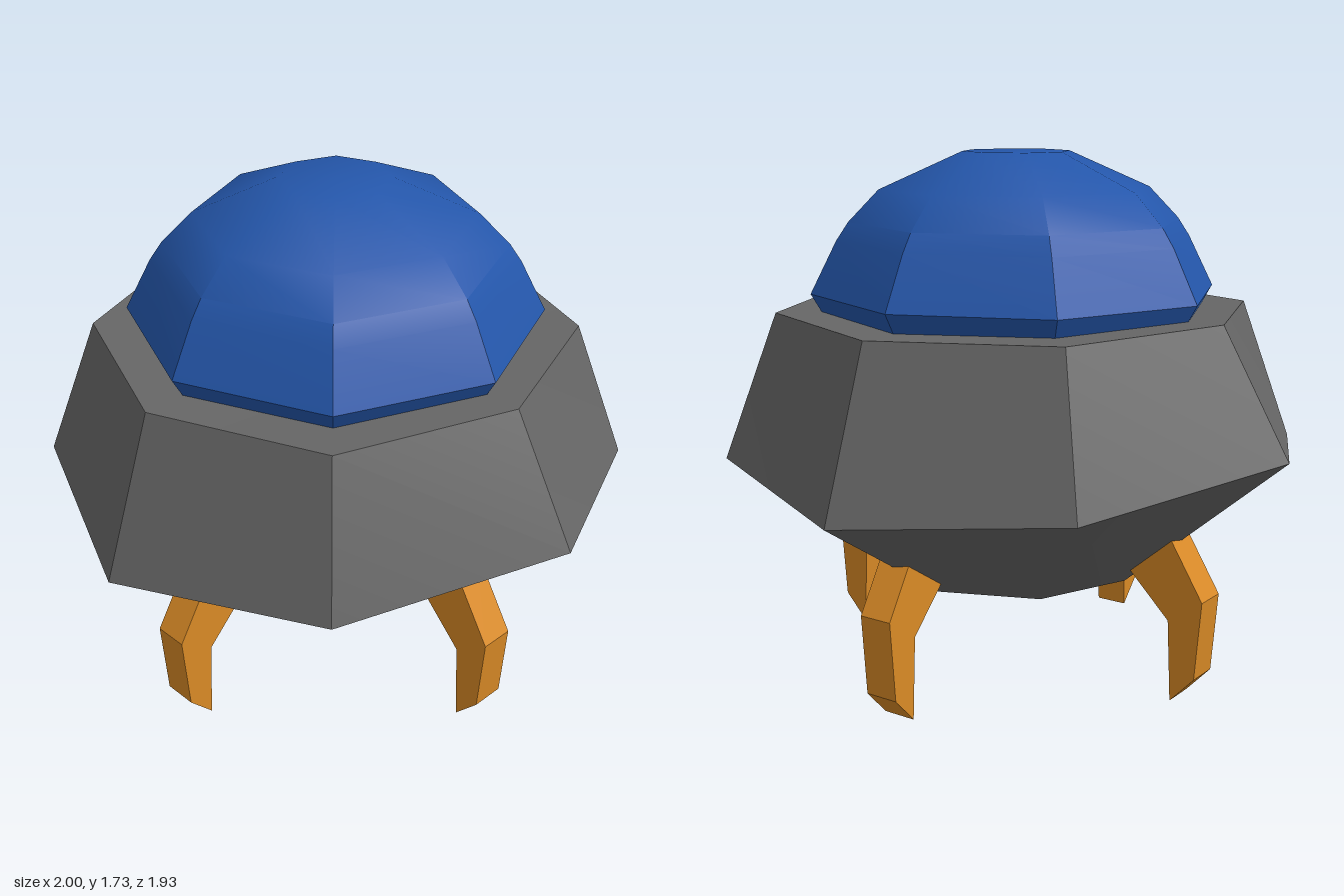
import * as THREE from 'three';
import { toCreasedNormals } from 'three/addons/utils/BufferGeometryUtils.js';

const SIDES = 8;

// Picks the value for a corner: [on the x axis, diagonal, on the z axis]
const pick = (v, k) => (Array.isArray(v) ? v[[0, 1, 2, 1][k % 4]] : v);

// Skins eight-sided rings, each [radius, height], listed from bottom to top
function loft(rings, crease) {
  const point = ([r, y], k) => {
    const a = (k / SIDES) * Math.PI * 2;
    return [pick(r, k) * Math.cos(a), pick(y, k), pick(r, k) * Math.sin(a)];
  };
  const positions = [];
  for (let i = 0; i < rings.length - 1; i++) {
    const low = rings[i], high = rings[i + 1];
    for (let k = 0; k < SIDES; k++) {
      const a = point(low, k), b = point(low, k + 1);
      const c = point(high, k), d = point(high, k + 1);
      if (high[0] !== 0) positions.push(...a, ...c, ...d);
      if (low[0] !== 0) positions.push(...a, ...(high[0] === 0 ? c : d), ...b);
    }
  }
  const geometry = new THREE.BufferGeometry();
  geometry.setAttribute('position', new THREE.Float32BufferAttribute(positions, 3));
  return toCreasedNormals(geometry, THREE.MathUtils.degToRad(crease));
}

function material(name, color) {
  const m = new THREE.MeshStandardMaterial({ color });
  m.name = name;
  return m;
}

export function createModel() {
  const group = new THREE.Group();
  group.name = 'flyingSaucer';
  const hullGrey = material('hullGrey', 0x666666);
  const domeBlue = material('domeBlue', 0x2456aa);
  const legOrange = material('legOrange', 0xd98a26);

  const add = (name, geometry, mat) => {
    const mesh = new THREE.Mesh(geometry, mat);
    mesh.name = name;
    group.add(mesh);
    return mesh;
  };

  // Hull: its widest edge rises toward the sides and dips at front and back
  add('hull', loft([
    [0, 0.35],
    [0.435, 0.35],
    [[1, 0.966, 0.966], [0.83, 0.745, 0.69]],
    [[0.768, 0.79, 0.78], [1.23, 1.222, 1.216]],
    [0, 1.222],
  ], 33), hullGrey);

  // Dome: undercut base, faceted sides, smooth crown
  add('dome', loft([
    [0.63, 1.2],
    [0.676, 1.28],
    [0.59, 1.45],
    [0.55, 1.51],
    [0.45, 1.613],
    [0.177, 1.733],
    [0, 1.733],
  ], 35), domeBlue);

  // Legs: bent claws whose upper ends sink into the hull
  const profile = new THREE.Shape([
    [0.445, 0.455], [0.63, 0.27], [0.643, 0], [0.728, 0.09], [0.75, 0.352], [0.595, 0.605],
  ].map(([x, y]) => new THREE.Vector2(x, y)));
  const width = 0.114;
  const legGeometry = new THREE.ExtrudeGeometry(profile, { depth: width, bevelEnabled: false });
  legGeometry.translate(0, 0, -width / 2);
  ['leftLeg', 'backLeg', 'rightLeg', 'frontLeg'].forEach((name, i) => {
    add(name, legGeometry, legOrange).rotation.y = (i * Math.PI) / 2;
  });

  return group;
}
